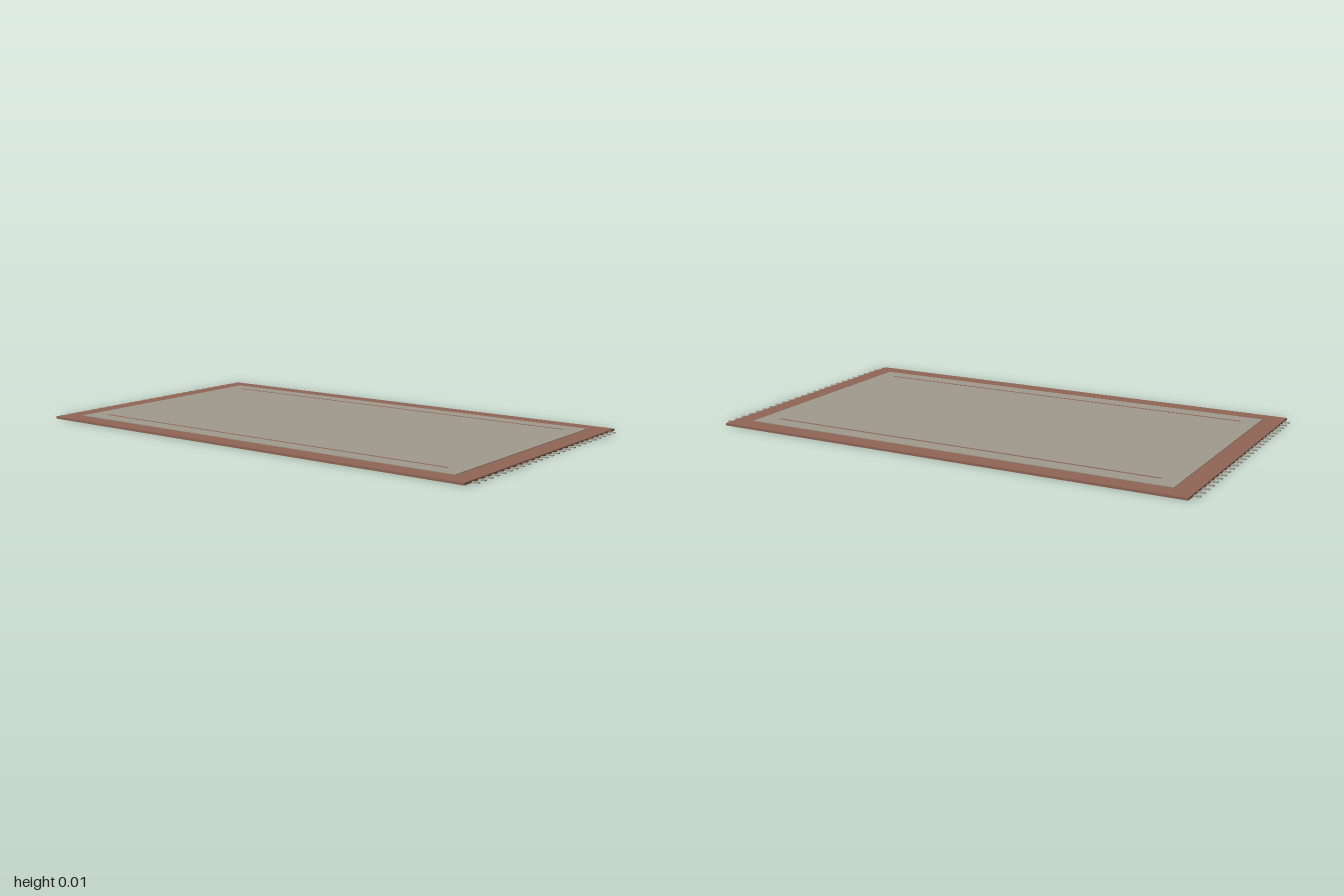
import * as THREE from 'three';

export function createModel() {
  const rug = new THREE.Group();
  rug.name = 'rug';
  const rust = new THREE.MeshStandardMaterial({ color: 0x8f6556 });
  const linen = new THREE.MeshStandardMaterial({ color: 0x9f9a8c });

  // Box from its full size, with its underside at height y
  function slab(name, w, h, d, x, y, z, material, parent = rug) {
    const mesh = new THREE.Mesh(new THREE.BoxGeometry(w, h, d), material);
    mesh.name = name;
    mesh.position.set(x, y + h / 2, z);
    parent.add(mesh);
  }

  // Woven base, whose rim shows as the border, and the raised field
  slab('border', 1.948, 0.009, 1.138, 0, 0, 0, rust);
  slab('field', 1.79, 0.003, 0.984, 0, 0.0085, 0, linen);

  // Accent stripes along the long sides
  for (const side of [-1, 1]) {
    slab('accentStripe', 1.646, 0.001, 0.009, 0, 0.0112, side * 0.421, rust);
  }

  // Fringe of short tassels on both ends
  const count = 25;
  for (const side of [-1, 1]) {
    const fringe = new THREE.Group();
    fringe.name = side > 0 ? 'leftFringe' : 'rightFringe';
    for (let i = 0; i < count; i++) {
      const z = (i / (count - 1) - 0.5) * 1.038;
      slab('tassel', 0.03, 0.004, 0.012, side * 0.985, 0.001, z, linen, fringe);
    }
    rug.add(fringe);
  }
  return rug;
}
